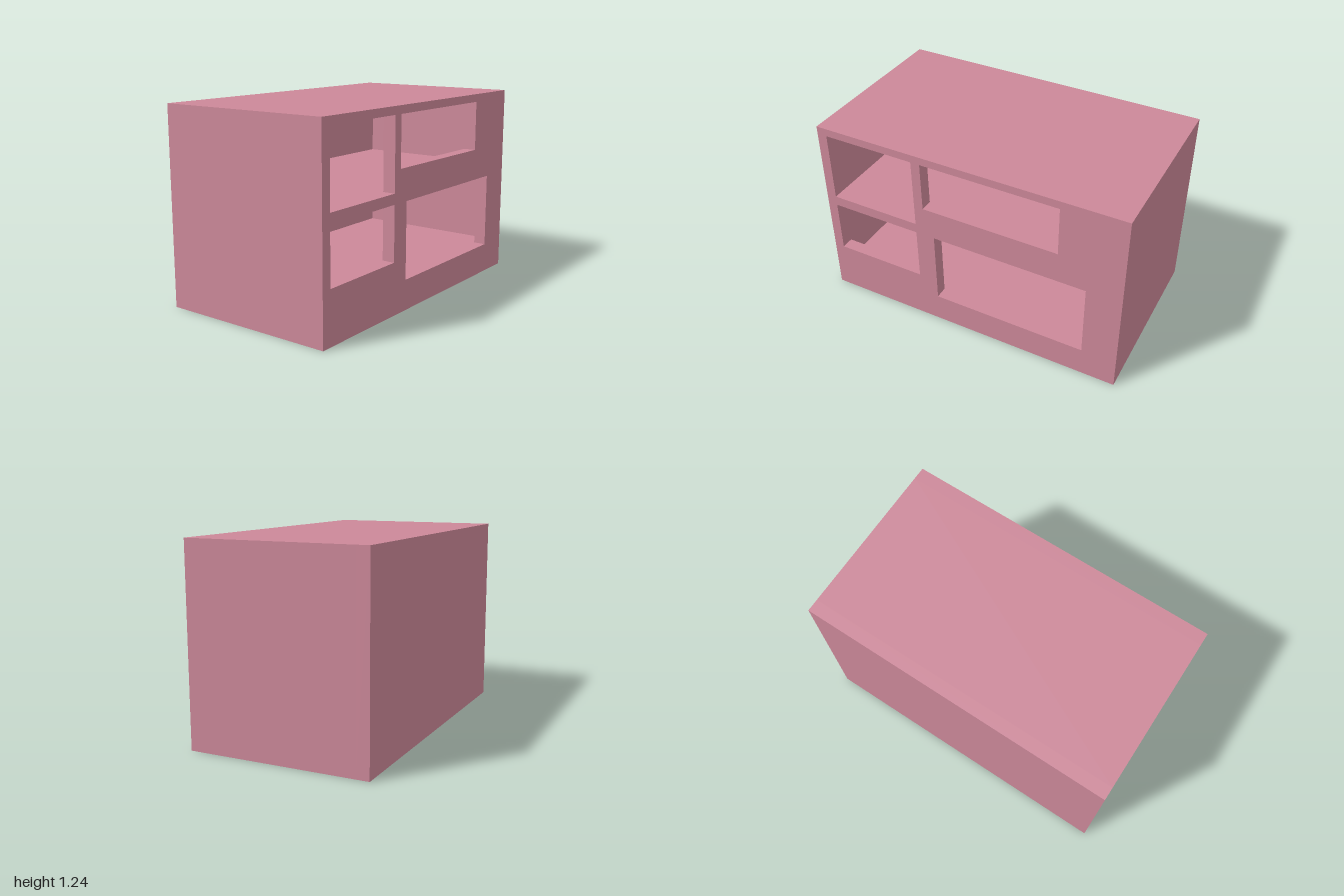
import * as THREE from 'three';

const W = 0.57, H = 1.235, D = 1; // half width, height, half depth
const SIDE = 0.08;                // thickness of the side walls

// openings as [front z, back z, bottom y, top y]
const rooms = [
  [0.935, -0.935, 0.19, 0.67],
  [0.935, -0.935, 0.735, 1.185],
];
const windows = [
  [0.935, 0.34, 0.735, 1.185],
  [0.28, -0.6, 0.87, 1.185],
  [0.935, 0.34, 0.325, 0.67],
  [0.215, -0.78, 0.19, 0.67],
];

// rectangle drawn in the side plane, with -z running to the right
function rect(Type, [zf, zb, y0, y1]) {
  return new Type([
    new THREE.Vector2(-zf, y0), new THREE.Vector2(-zb, y0),
    new THREE.Vector2(-zb, y1), new THREE.Vector2(-zf, y1),
  ]);
}

export function createModel() {
  const model = new THREE.Group();
  model.name = 'hollowBlock';
  const material = new THREE.MeshStandardMaterial({ color: 0xcc8899 });

  // side profile with rectangular holes, extruded from x0 to x1
  function slab(name, x0, x1, holes) {
    const shape = rect(THREE.Shape, [D, -D, 0, H]);
    shape.holes = holes.map((h) => rect(THREE.Path, h));
    const geometry = new THREE.ExtrudeGeometry(shape, { depth: x1 - x0, bevelEnabled: false });
    geometry.rotateY(Math.PI / 2).translate(x0, 0, 0);
    const mesh = new THREE.Mesh(geometry, material);
    mesh.name = name;
    model.add(mesh);
  }

  // closed wall, two stacked rooms, wall with four windows
  slab('closedWall', -W, -W + SIDE, []);
  slab('roomShell', -W + SIDE, W - SIDE, rooms);
  slab('windowWall', W - SIDE, W, windows);

  return model;
}
